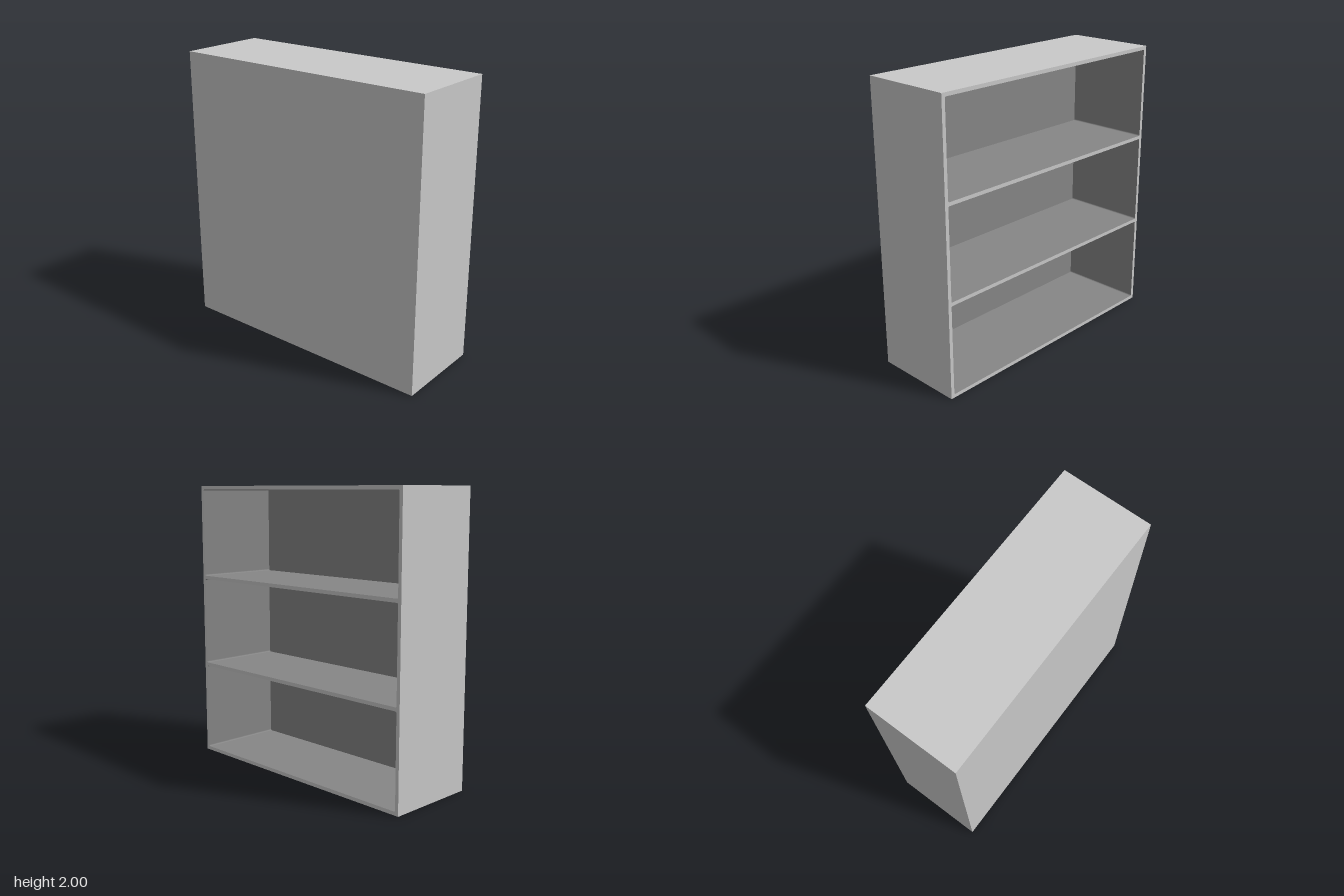
import * as THREE from 'three';

const DEPTH = 0.65, HEIGHT = 2, WIDTH = 1.934;
const WALL = 0.025, SHELVES = 3, RADIUS = 0.01;

// Rectangle path with rounded corners
function roundedRect(x, y, w, h, r) {
  const p = new THREE.Path();
  p.moveTo(x + r, y);
  p.lineTo(x + w - r, y);
  p.absarc(x + w - r, y + r, r, -Math.PI / 2, 0);
  p.lineTo(x + w, y + h - r);
  p.absarc(x + w - r, y + h - r, r, 0, Math.PI / 2);
  p.lineTo(x + r, y + h);
  p.absarc(x + r, y + h - r, r, Math.PI / 2, Math.PI);
  p.lineTo(x, y + r);
  p.absarc(x + r, y + r, r, Math.PI, Math.PI * 1.5);
  return p;
}

export function createModel() {
  const group = new THREE.Group();
  group.name = 'bookcase';

  const shell = new THREE.MeshStandardMaterial({ color: 0xc9c9c9 });
  shell.name = 'light grey shell';
  const inside = new THREE.MeshStandardMaterial({ color: 0x868686 });
  inside.name = 'dark grey interior';

  // Outer frame with one opening per compartment
  const half = WIDTH / 2;
  const outline = new THREE.Shape([
    new THREE.Vector2(-half, 0), new THREE.Vector2(half, 0),
    new THREE.Vector2(half, HEIGHT), new THREE.Vector2(-half, HEIGHT),
  ]);
  const cell = (HEIGHT - WALL * (SHELVES + 1)) / SHELVES;
  for (let i = 0; i < SHELVES; i++) {
    const y = WALL + i * (cell + WALL);
    outline.holes.push(roundedRect(-half + WALL, y, WIDTH - WALL * 2, cell, RADIUS));
  }
  const frameGeo = new THREE.ExtrudeGeometry(outline, {
    depth: DEPTH - WALL, bevelEnabled: false, curveSegments: 4,
  });

  // Caps and the four outer walls use the shell colour, compartment walls the interior colour
  const outerEnd = frameGeo.groups[1].start + 4 * 6;
  const total = frameGeo.attributes.position.count;
  frameGeo.clearGroups();
  frameGeo.addGroup(0, outerEnd, 0);
  frameGeo.addGroup(outerEnd, total - outerEnd, 1);
  frameGeo.rotateY(Math.PI / 2);
  const frame = new THREE.Mesh(frameGeo, [shell, inside]);
  frame.name = 'frameAndShelves';
  frame.position.x = -DEPTH / 2 + WALL;
  group.add(frame);

  // Back panel, dark only on the face seen through the openings
  const back = new THREE.Mesh(
    new THREE.BoxGeometry(WALL, HEIGHT, WIDTH),
    [inside, shell, shell, shell, shell, shell],
  );
  back.name = 'backPanel';
  back.position.set(-DEPTH / 2 + WALL / 2, HEIGHT / 2, 0);
  group.add(back);

  return group;
}
